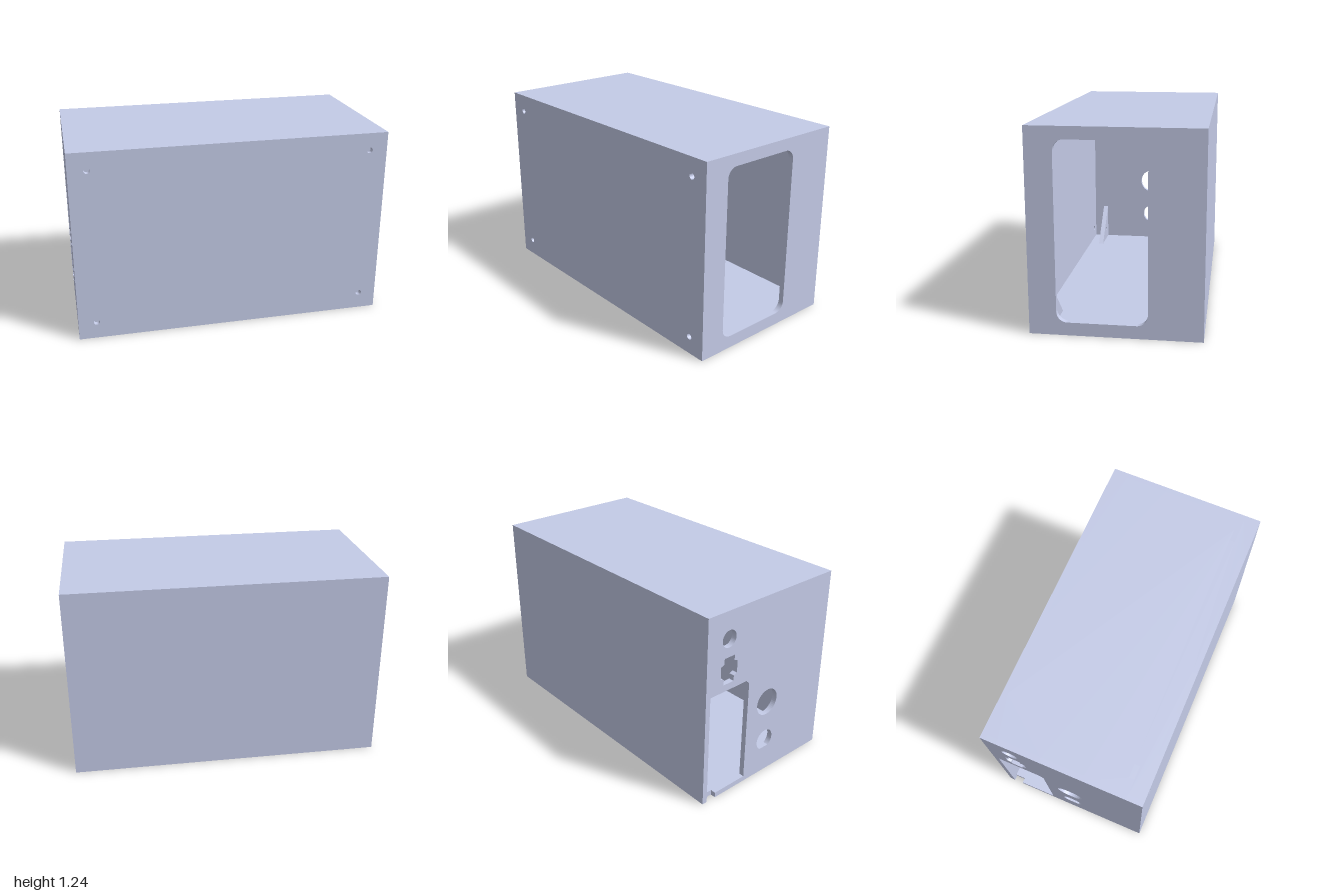
import * as THREE from 'three';

const H = 1.24, T = 0.034, X = 1, Z = 0.515;   // height, board thickness, half width, half depth
const XI = X - T, ZI = Z - T;

// Finger positions along each direction
const fingersX = [[-XI, -0.69], [-0.413, -0.137], [0.137, 0.413], [0.69, XI]];
const fingersZ = [[-0.413, -0.137], [0.137, 0.413]];
const fingersY = [[0.206, 0.482], [0.757, 1.034]];

// Counter-clockwise rectangle whose edges carry tabs (positive depth) or notches (negative)
function outline(u0, u1, v0, v1, along, dv, right, left, du) {
  const pts = [[u0, v0]];
  for (const [a, b] of along) pts.push([a, v0], [a, v0 - dv], [b, v0 - dv], [b, v0]);
  pts.push([u1, v0]);
  for (const [a, b] of right) pts.push([u1, a], [u1 + du, a], [u1 + du, b], [u1, b]);
  pts.push([u1, v1]);
  for (const [a, b] of [...along].reverse()) pts.push([b, v1], [b, v1 + dv], [a, v1 + dv], [a, v1]);
  pts.push([u0, v1]);
  for (const [a, b] of [...left].reverse()) pts.push([u0, b], [u0 - du, b], [u0 - du, a], [u0, a]);
  return pts.filter((p, i) => {
    const q = pts[(i + 1) % pts.length];
    return Math.hypot(p[0] - q[0], p[1] - q[1]) > 1e-6;
  });
}

const vectors = (pts) => pts.map(([u, v]) => new THREE.Vector2(u, v));
const polyHole = (pts) => new THREE.Path(vectors(pts));
const rectHole = (u0, u1, v0, v1) => polyHole([[u0, v0], [u1, v0], [u1, v1], [u0, v1]]);

function roundHole(u, v, r, from = 0, to = Math.PI * 2) {
  const p = new THREE.Path();
  p.absarc(u, v, r, from, to, false);
  return p;
}

function roundedRectHole(u0, u1, v0, v1, r) {
  const p = new THREE.Path();
  p.absarc(u1 - r, v0 + r, r, -Math.PI / 2, 0, false);
  p.absarc(u1 - r, v1 - r, r, 0, Math.PI / 2, false);
  p.absarc(u0 + r, v1 - r, r, Math.PI / 2, Math.PI, false);
  p.absarc(u0 + r, v0 + r, r, Math.PI, Math.PI * 1.5, false);
  p.closePath();
  return p;
}

export function createModel() {
  const group = new THREE.Group();
  group.name = 'panelBox';
  const board = new THREE.MeshStandardMaterial({ color: 0xcad1ee });
  board.name = 'paleBlueGrey';

  function addPanel(name, pts, holes, position, rotation = [0, 0, 0]) {
    const shape = new THREE.Shape(vectors(pts));
    shape.holes.push(...holes);
    const geo = new THREE.ExtrudeGeometry(shape, { depth: T, bevelEnabled: false, curveSegments: 24 });
    const mesh = new THREE.Mesh(geo, board);
    mesh.name = name;
    mesh.position.set(...position);
    mesh.rotation.set(...rotation);
    group.add(mesh);
  }

  // Front panel with four screw holes
  const corners = [[1, 1], [-1, 1], [1, -1], [-1, -1]];
  const screws = corners.map(([sx, sy]) => roundHole(sx * 0.885, H / 2 + sy * 0.507, 0.019));
  addPanel('frontPanel', outline(-X, X, 0, H, fingersX, -T, fingersY, fingersY, -T), screws, [0, 0, ZI]);

  // Back panel, left unnotched beside the low cut-out
  addPanel('backPanel', outline(-X, X, 0, H, fingersX, -T, fingersY, [fingersY[1]], -T), [], [0, 0, -Z]);

  // Top and bottom panels, with slots for the corner gussets
  const lid = outline(-XI, XI, -ZI, ZI, fingersX, T, fingersZ, fingersZ, T);
  const lidSlots = () => [rectHole(0.79, 0.875, 0.378, 0.412), rectHole(-0.875, -0.79, 0.378, 0.412)];
  addPanel('topPanel', lid, lidSlots(), [0, H, 0], [Math.PI / 2, 0, 0]);
  addPanel('bottomPanel', lid, lidSlots(), [0, T, 0], [Math.PI / 2, 0, 0]);

  // Side panel with the large rounded opening
  const turn = [0, -Math.PI / 2, 0];
  const sideSlots = () => [rectHole(0.378, 0.412, 1.03, 1.115), rectHole(0.378, 0.412, 0.125, 0.21)];
  addPanel('openingSidePanel', outline(-ZI, ZI, 0, H, fingersZ, -T, fingersY, fingersY, T),
    [roundedRectHole(-0.19, 0.35, 0.08, 1.165, 0.065), ...sideSlots()], [X, 0, 0], turn);

  // Connector side panel with a cut-out at the lower back corner
  const connector = [
    [-0.165, T],
    ...outline(-ZI, ZI, 0, H, fingersZ, -T, fingersY, [fingersY[1]], T).slice(3),
    [-ZI, 0.735], [-0.19, 0.735], [-0.165, 0.71],
  ];
  const socket = [[0.04, -0.085], [0.04, -0.05], [0.065, -0.04], [0.065, 0.04], [0.04, 0.05], [0.04, 0.085]];
  const socketLoop = [...socket, ...socket.map(([u, v]) => [-u, -v])].map(([u, v]) => [u - 0.34, v + 0.865]);
  addPanel('connectorSidePanel', connector, [
    roundHole(0.008, 0.512, 0.088),
    roundHole(0.008, 0.235, 0.068, -0.994, Math.PI + 0.994),
    roundHole(-0.348, 1.066, 0.054),
    polyHole(socketLoop),
    ...sideSlots(),
  ], [-XI, 0, 0], turn);

  // Triangular gussets behind the front panel, tabbed into the slots
  const gusset = [
    [0.715, 0.586], [XI, 0.335], [XI, 0.41], [X, 0.41], [X, 0.495], [XI, 0.495],
    [XI, 0.586], [0.875, 0.586], [0.875, 0.62], [0.79, 0.62], [0.79, 0.586],
  ];
  for (const [sx, sy] of corners) {
    addPanel('cornerGusset', gusset.map(([u, v]) => [sx * u, H / 2 + sy * v]),
      [roundHole(sx * 0.885, H / 2 + sy * 0.507, 0.014)], [0, 0, 0.378]);
  }
  return group;
}
